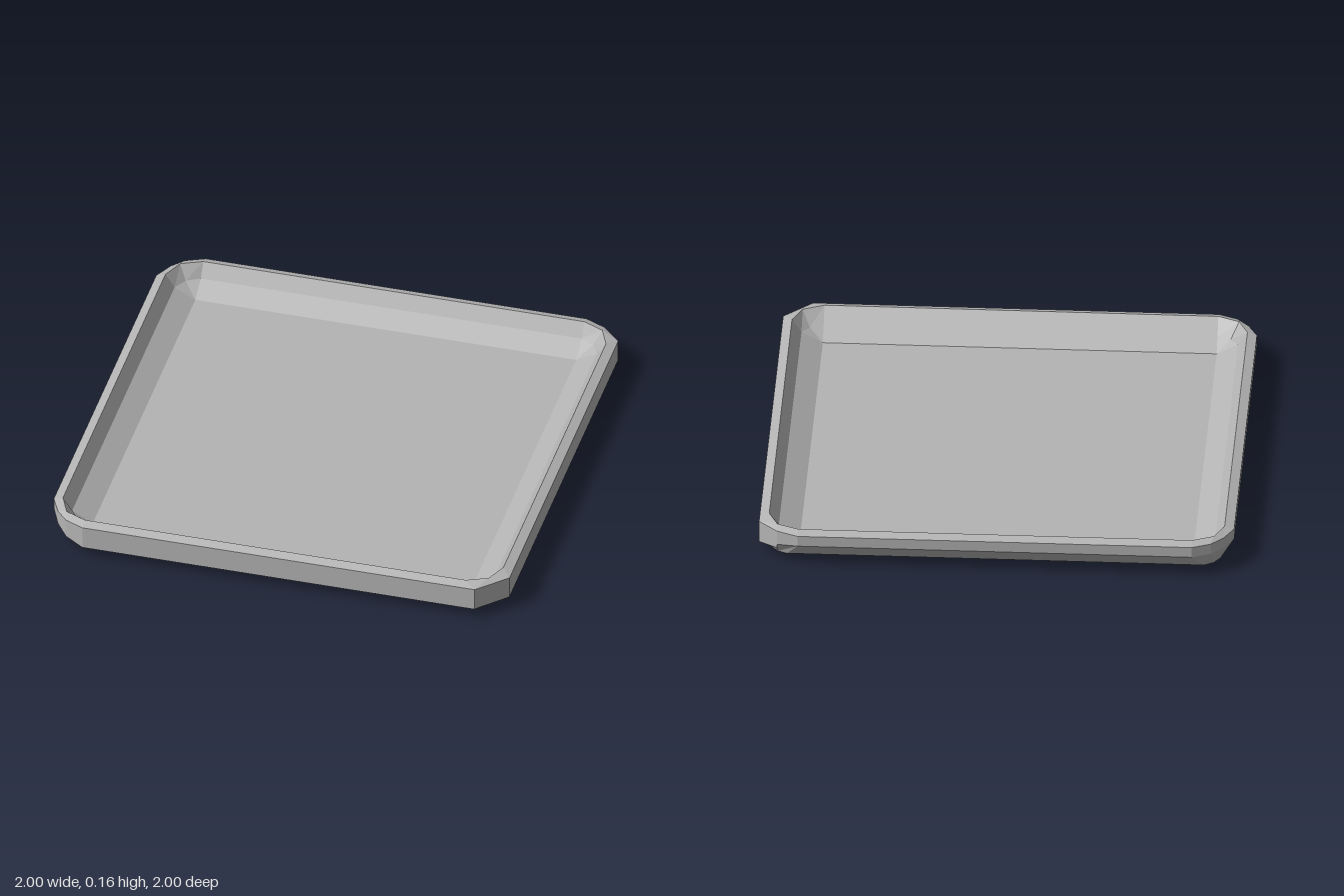
import * as THREE from 'three';

// Corners in loop order: x sign, z sign, height of the wall foot on the x side and on the z side,
// and the plan of the outer corner from the x side to the z side.
const ROUND = [[1, 0.83], [0.96, 0.91], [0.91, 0.965], [0.83, 1]];
const CUT = [[1, 0.88], [0.92, 0.96], [0.92, 0.96], [0.83, 1]];
const CHAMFER = [[1, 0.88], [1, 0.88], [0.88, 1], [0.88, 1]];
const CORNERS = [
  { sx: 1, sz: 1, footX: 0.05, footZ: 0.045, plan: CHAMFER },
  { sx: -1, sz: 1, footX: 0.1, footZ: 0.045, plan: ROUND },
  { sx: -1, sz: -1, footX: 0.1, footZ: 0.1, plan: ROUND },
  { sx: 1, sz: -1, footX: 0.05, footZ: 0.1, plan: CUT },
];

// Closed loop of 16 points; corner(c) gives four [x, y, z] in the positive quadrant.
function ring(corner) {
  return CORNERS.flatMap((c) => {
    const pts = corner(c).map(([x, y, z]) => new THREE.Vector3(x * c.sx, y, z * c.sz));
    return c.sx * c.sz > 0 ? pts : pts.reverse();
  });
}
const point = (r, y) => ring(() => Array(4).fill([r, y, r]));

// Flat faces between successive loops, leaving out collapsed triangles.
function loft(name, rings, material) {
  const pos = [];
  const tri = (a, b, c) => {
    if (a.distanceTo(b) < 1e-5 || b.distanceTo(c) < 1e-5 || c.distanceTo(a) < 1e-5) return;
    for (const p of [a, b, c]) pos.push(p.x, p.y, p.z);
  };
  for (let k = 0; k + 1 < rings.length; k++) {
    const A = rings[k], B = rings[k + 1];
    for (let i = 0; i < A.length; i++) {
      const j = (i + 1) % A.length;
      tri(A[i], B[i], A[j]);
      tri(A[j], B[i], B[j]);
    }
  }
  const g = new THREE.BufferGeometry();
  g.setAttribute('position', new THREE.Float32BufferAttribute(pos, 3));
  g.computeVertexNormals();
  const mesh = new THREE.Mesh(g, material);
  mesh.name = name;
  return mesh;
}

export function createModel() {
  const grey = new THREE.MeshStandardMaterial({ color: 0xb4b4b4 });
  grey.name = 'plain grey';

  // Outer wall, its foot and the lower bevel
  const wallTop = ring((c) => c.plan.map(([x, z]) => [x, 0.147, z]));
  const wallFoot = ring((c) => c.plan.map(([x, z], i) =>
    [x, THREE.MathUtils.lerp(c.footX, c.footZ, i / 3), z]));
  const bevel = ring((c) => {
    const yx = c.footX > 0.06 ? 0.033 : 0.025;
    const yz = c.footZ > 0.06 ? 0.033 : 0.023;
    const y = (yx + yz) / 2;
    return [[0.945, yx, 0.88], [0.92, y, 0.92], [0.92, y, 0.92], [0.88, yz, 0.945]];
  });

  // Inner lip and the sloping sides; the front side is a single slope
  const lip = ring(() => [[0.96, 0.16, 0.83], [0.92, 0.16, 0.92], [0.92, 0.16, 0.92], [0.83, 0.16, 0.96]]);
  const slope = ring((c) => {
    const z = c.sz > 0 ? 0.888 : 0.92;
    const m = [0.887, 0.1, (z + 0.855) / 2];
    return [[0.92, 0.1, 0.83], m, m, [0.83, 0.1, z]];
  });

  const tray = new THREE.Group();
  tray.name = 'tray';
  tray.add(
    loft('outerShell', [point(0, 0), point(0.88, 0), bevel, wallFoot, wallTop], grey),
    loft('rim', [wallTop, lip], grey),
    loft('basin', [lip, slope, point(0.83, 0.052), point(0, 0.052)], grey),
  );
  return tray;
}
